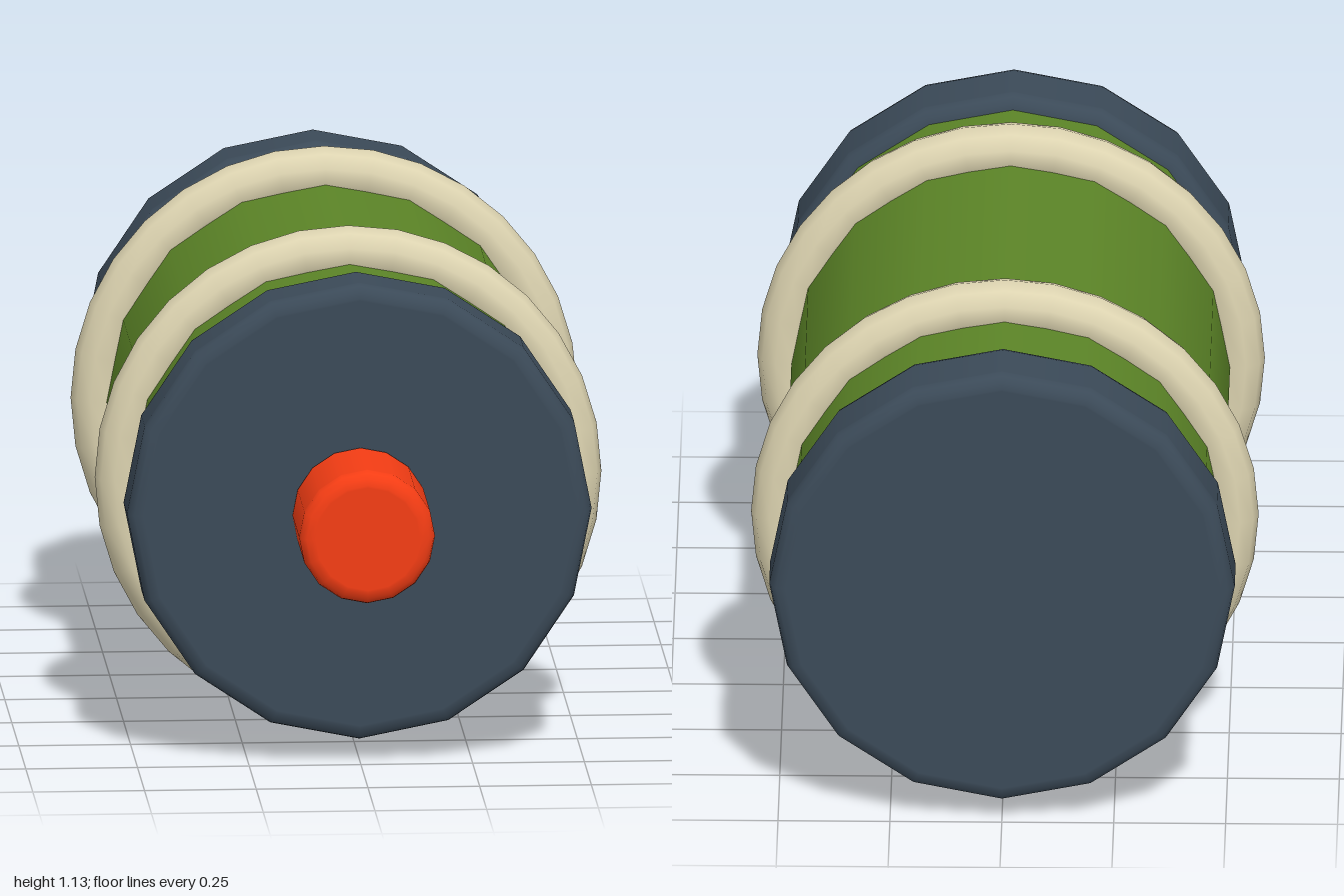
import * as THREE from 'three';

const CENTRE_Y = 0.57;
const SIDES = 16;

const paint = (color) => new THREE.MeshStandardMaterial({ color });

// Solid drum along z from z0 to z1 with rounded rims
function drum(name, radius, z0, z1, bevel, material) {
  const profile = [new THREE.Vector2(0, z0), new THREE.Vector2(radius - bevel - 0.005, z0)];
  const steps = 3;
  const rim = (cz, from) => {
    for (let i = 0; i <= steps; i++) {
      const a = from + (i / steps) * Math.PI / 2;
      profile.push(new THREE.Vector2(radius - bevel + bevel * Math.cos(a), cz + bevel * Math.sin(a)));
    }
  };
  rim(z0 + bevel, -Math.PI / 2);
  // Support loops keep the side wall evenly shaded
  profile.push(new THREE.Vector2(radius, z0 + bevel + 0.005));
  profile.push(new THREE.Vector2(radius, z1 - bevel - 0.005));
  rim(z1 - bevel, 0);
  profile.push(new THREE.Vector2(radius - bevel - 0.005, z1), new THREE.Vector2(0, z1));
  const geometry = new THREE.LatheGeometry(profile, SIDES);
  geometry.rotateX(Math.PI / 2);
  const mesh = new THREE.Mesh(geometry, material);
  mesh.name = name;
  mesh.position.y = CENTRE_Y;
  return mesh;
}

export function createModel() {
  const model = new THREE.Group();
  model.name = 'canister';

  const green = paint(0x5c8527);
  const slate = paint(0x3b4a58);
  const cream = paint(0xdcd3b0);
  const red = paint(0xf53d14);

  // Main cylinder and its two end caps
  model.add(drum('body', 0.49, -0.84, 0.56, 0.01, green));
  model.add(drum('frontCap', 0.52, 0.54, 0.72, 0.03, slate));
  model.add(drum('backCap', 0.52, -1, -0.82, 0.03, slate));

  // Push button on the front
  model.add(drum('button', 0.152, 0.7, 1, 0.03, red));

  // Raised bands around the body
  for (const [name, z] of [['frontBand', 0.29], ['backBand', -0.57]]) {
    const band = new THREE.Mesh(new THREE.TorusGeometry(0.507, 0.06, 10, 32), cream);
    band.name = name;
    band.position.set(0, CENTRE_Y, z);
    model.add(band);
  }

  return model;
}
